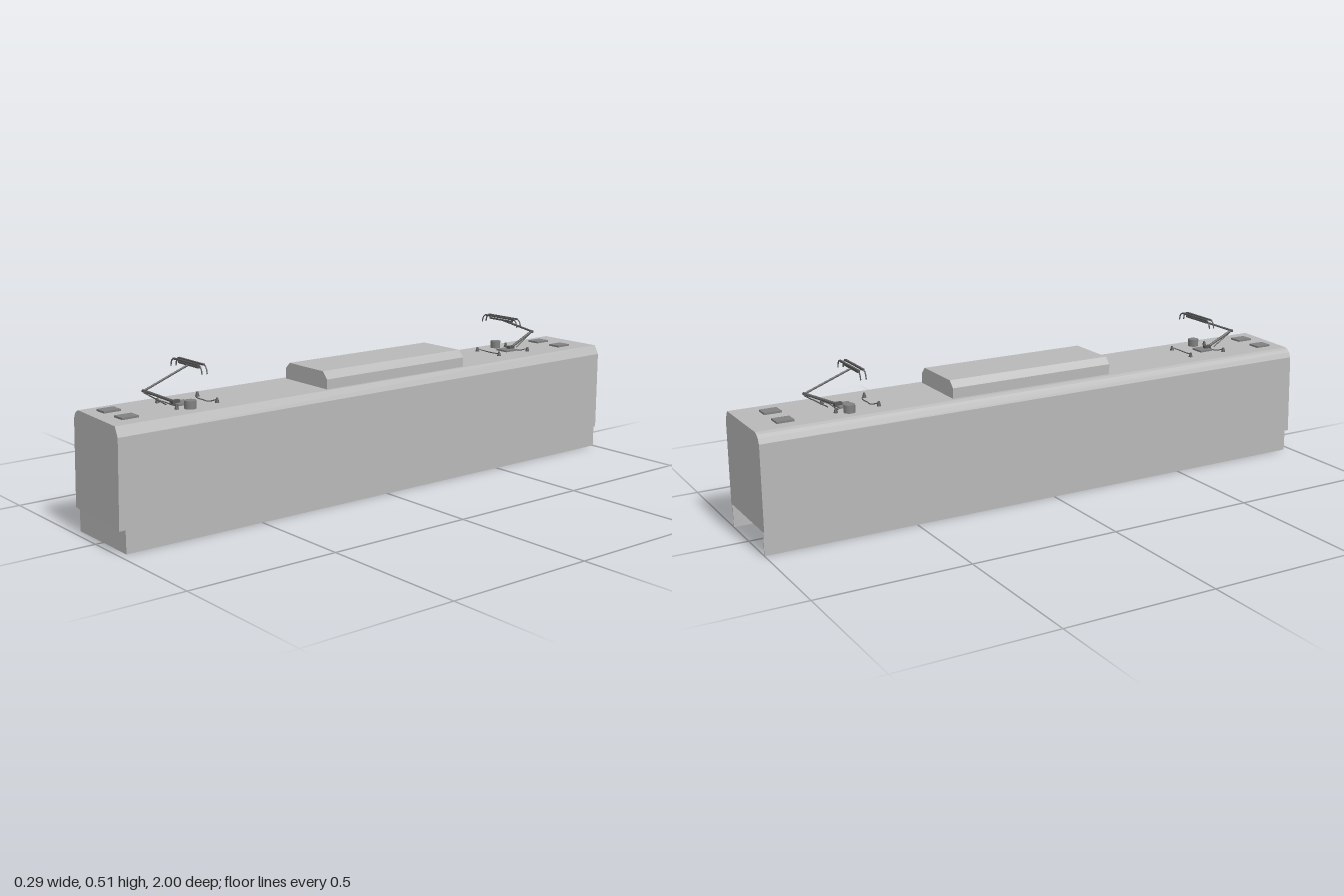
import * as THREE from 'three';

const ROOF = 0.378, FLOOR = 0.075;

function createMaterials() {
  const make = (name, color) => {
    const m = new THREE.MeshStandardMaterial({ color });
    m.name = name;
    return m;
  };
  return {
    body: make('light grey', 0xb8b8b8),
    fitting: make('mid grey', 0x808080),
    gear: make('dark grey', 0x585858),
  };
}

function add(parent, name, geometry, material, x = 0, y = 0, z = 0) {
  const mesh = new THREE.Mesh(geometry, material);
  mesh.name = name;
  mesh.position.set(x, y, z);
  parent.add(mesh);
  return mesh;
}

const box = (w, h, d) => new THREE.BoxGeometry(w, h, d);
const vec = (p) => new THREE.Vector3(...p);

// Cross-section in x and y, extruded from z0 to z1
function extrudeAlong(points, z0, z1) {
  const shape = new THREE.Shape(points.map(([x, y]) => new THREE.Vector2(x, y)));
  const g = new THREE.ExtrudeGeometry(shape, { depth: z1 - z0, bevelEnabled: false });
  return g.translate(0, 0, z0);
}

// Straight round rod between two points
function rod(parent, name, a, b, r, material) {
  const start = vec(a), dir = vec(b).sub(start), len = dir.length();
  const mesh = add(parent, name, new THREE.CylinderGeometry(r, r, len, 8), material);
  mesh.position.copy(start).addScaledVector(dir, 0.5);
  mesh.quaternion.setFromUnitVectors(new THREE.Vector3(0, 1, 0), dir.normalize());
}

function bentRod(parent, name, points, r, material) {
  const curve = new THREE.CatmullRomCurve3(points.map(vec));
  add(parent, name, new THREE.TubeGeometry(curve, 16, r, 6), material);
}

// Current collector and the roof equipment around it; z is measured from the head
function createCollector(mat) {
  const g = new THREE.Group();
  g.name = 'currentCollector';

  // Base and folding arm
  add(g, 'base', box(0.05, 0.006, 0.05), mat.fitting, 0, ROOF + 0.003, 0.03);
  add(g, 'basePivot', box(0.014, 0.012, 0.025), mat.gear, 0, ROOF + 0.009, 0.05);
  rod(g, 'lowerArm', [0, 0.388, 0.055], [0, 0.434, 0.155], 0.0045, mat.gear);
  rod(g, 'guideRod', [0.004, 0.384, 0.085], [0.004, 0.43, 0.158], 0.002, mat.gear);
  rod(g, 'upperArm', [0, 0.434, 0.158], [0, 0.492, 0.005], 0.0035, mat.gear);
  rod(g, 'elbow', [-0.006, 0.434, 0.156], [0.006, 0.434, 0.156], 0.005, mat.gear);

  // Collector head with two contact strips and drooping horns
  for (const z of [-0.009, 0.009]) {
    add(g, 'contactStrip', box(0.14, 0.005, 0.007), mat.gear, 0, 0.503, z);
    for (const s of [-1, 1]) {
      bentRod(g, 'horn', [[s * 0.068, 0.503, z], [s * 0.078, 0.499, z],
        [s * 0.084, 0.49, z], [s * 0.087, 0.477, z]], 0.0022, mat.gear);
    }
  }
  add(g, 'headBar', box(0.112, 0.005, 0.007), mat.gear, 0, 0.493, 0);
  for (const s of [-1, 1]) {
    rod(g, 'headLink', [s * 0.053, 0.493, 0], [s * 0.061, 0.502, 0], 0.0025, mat.gear);
  }

  // Bowed cables between pairs of small insulators
  for (const [z, bow] of [[-0.062, 0.016], [0.08, -0.016]]) {
    bentRod(g, 'cable', [[-0.055, 0.388, z], [-0.035, 0.381, z + bow], [0, 0.38, z + bow],
      [0.035, 0.381, z + bow], [0.055, 0.388, z]], 0.0018, mat.gear);
    for (const s of [-1, 1]) {
      add(g, 'insulator', new THREE.CylinderGeometry(0.003, 0.007, 0.015, 10),
        mat.gear, s * 0.055, ROOF + 0.0075, z);
    }
  }
  add(g, 'roofDrum', new THREE.CylinderGeometry(0.018, 0.018, 0.025, 20),
    mat.fitting, 0.07, ROOF + 0.0125, 0.042);
  return g;
}

export function createModel() {
  const model = new THREE.Group();
  model.name = 'railVehicle';
  const mat = createMaterials();

  // Main body: one rounded and one straight roof edge, with a slightly skewed front
  const shell = extrudeAlong([
    [-0.146, FLOOR], [0.145, FLOOR], [0.145, 0.348], [0.128, ROOF],
    [-0.117, ROOF], [-0.128, 0.373], [-0.139, 0.364], [-0.146, 0.348],
  ], -1, 1);
  const p = shell.attributes.position;
  for (let i = 0; i < p.count; i++) {
    if (p.getZ(i) > 0) {
      const skew = 0.018 * (0.145 - p.getX(i)) / 0.29;
      const lean = 0.008 * (p.getY(i) - FLOOR) / 0.3;
      p.setZ(i, 1 - skew - lean);
    }
  }
  shell.computeVertexNormals();
  add(model, 'body', shell, mat.body);

  // Skirt, open below and at the back
  for (const s of [-1, 1]) {
    add(model, 'sideSkirt', box(0.003, FLOOR, 1.974), mat.body, s * 0.1355, FLOOR / 2, -0.013);
  }
  add(model, 'frontSkirt', box(0.274, FLOOR, 0.003), mat.body, 0, FLOOR / 2, 0.9735);

  // Panels under the floor
  for (const z of [0.47, -0.03, -0.57]) {
    for (const k of [-1, 0, 1]) {
      add(model, 'floorPanel', box(0.05, 0.004, 0.085), mat.body, -0.09, FLOOR - 0.002, z + k * 0.1);
    }
  }

  // Raised roof housing with chamfered edges
  add(model, 'roofHousing', extrudeAlong([
    [-0.102, ROOF - 0.002], [0.117, ROOF - 0.002], [0.117, 0.41], [0.095, 0.433],
    [-0.081, 0.433], [-0.102, 0.412],
  ], -0.35, 0.232), mat.body);

  // Roof hatches at both ends
  for (const z of [0.91, -0.89]) {
    for (const x of [-0.052, 0.053]) {
      add(model, 'roofHatch', box(0.045, 0.006, 0.056), mat.fitting, x, ROOF + 0.003, z);
    }
  }

  // Two collectors, facing opposite ways
  const front = createCollector(mat);
  front.position.z = 0.664;
  const rear = createCollector(mat);
  rear.rotation.y = Math.PI;
  rear.position.z = -0.643;
  model.add(front, rear);
  return model;
}
